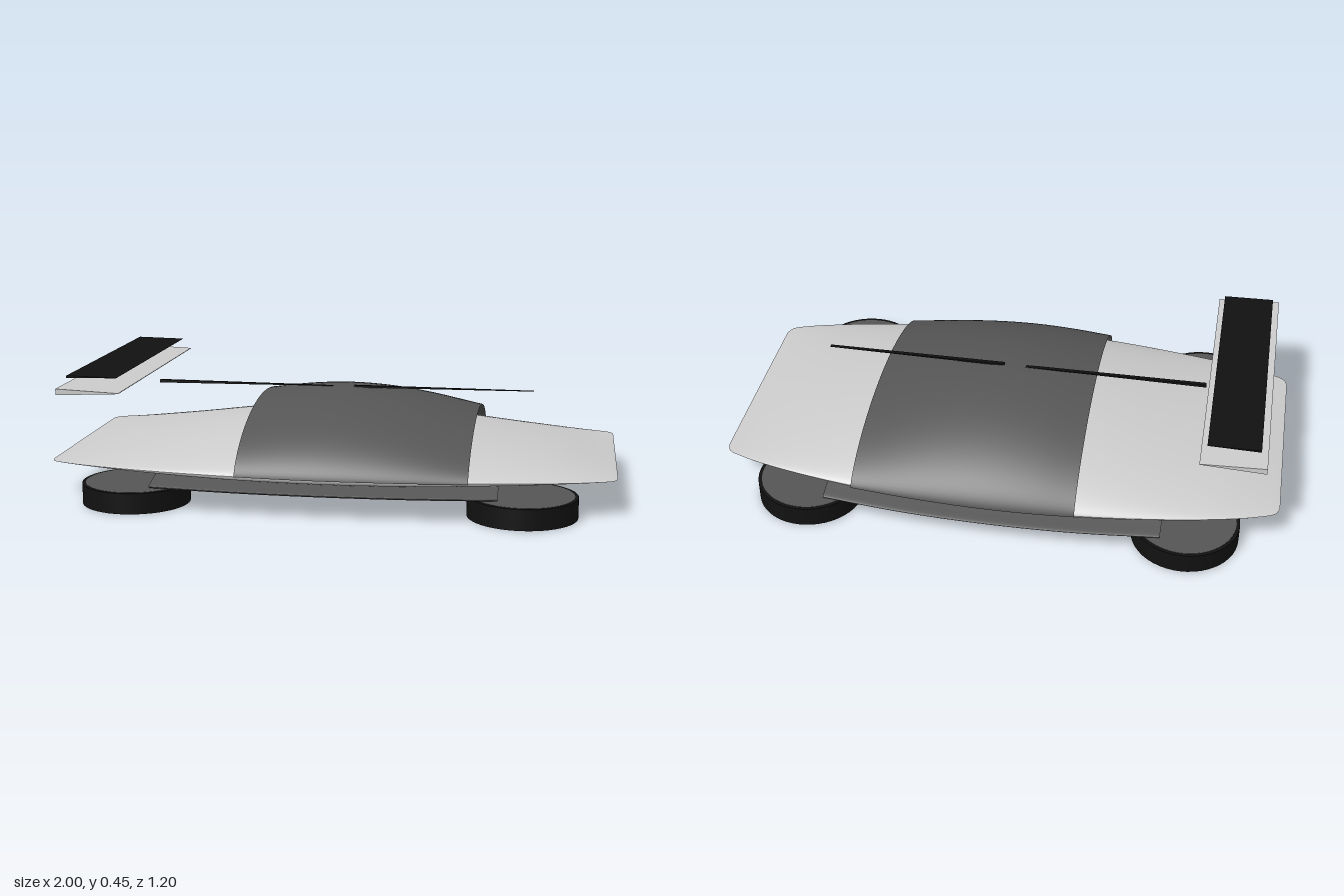
import * as THREE from 'three';

const material = (color) => new THREE.MeshStandardMaterial({ color, side: THREE.DoubleSide });
const SEAM = 0.13; // height of the body's widest line

// Smooth skin through cross-sections along x. Each station is (x, half width, top height).
function loft(stations, section, rows = 48, cols = 48) {
  const curve = new THREE.CatmullRomCurve3(stations.map((s) => new THREE.Vector3(...s)));
  const pos = [], index = [];
  for (let i = 0; i <= rows; i++) {
    const s = curve.getPoint(i / rows);
    for (let j = 0; j <= cols; j++) {
      const [z, y] = section(j / cols, s);
      pos.push(s.x, y, z);
      if (i < rows && j < cols) {
        const a = i * (cols + 1) + j, b = a + cols + 1;
        index.push(a, b, a + 1, b, b + 1, a + 1);
      }
    }
  }
  const g = new THREE.BufferGeometry();
  g.setAttribute('position', new THREE.Float32BufferAttribute(pos, 3));
  g.setIndex(index);
  g.computeVertexNormals();
  return g;
}

// Section rules: domed upper half and shallow lower half
const dome = (t, s) => [
  s.y * Math.cos(Math.PI * t),
  SEAM + (s.z - SEAM) * Math.pow(Math.abs(Math.sin(Math.PI * t)), 1.35),
];
const belly = (t, s) => [
  -s.y * Math.cos(Math.PI * t),
  SEAM - 0.052 * (1 - s.x * s.x) * Math.pow(Math.abs(Math.sin(Math.PI * t)), 0.8),
];

// Thin blade, thick at the -x edge and tapering to a point at +x
function blade(x0, x1, y, thickness, width) {
  const shape = new THREE.Shape();
  shape.moveTo(x0, y - thickness / 2);
  shape.lineTo(x1, y - thickness * 0.05);
  shape.lineTo(x1, y + thickness * 0.05);
  shape.lineTo(x0, y + thickness / 2);
  shape.closePath();
  return new THREE.ExtrudeGeometry(shape, { depth: width, bevelEnabled: false }).translate(0, 0, -width / 2);
}

export function createModel() {
  const group = new THREE.Group();
  const grey = material(0xcccccc), dark = material(0x555555), black = material(0x111111);
  const add = (name, geometry, mat, parent = group) => {
    const m = new THREE.Mesh(geometry, mat);
    m.name = name;
    parent.add(m);
    return m;
  };

  // Body: symmetric end to end, with rounded corners in plan
  const half = [[0.3, 0.527, 0.25], [0.6, 0.492, 0.207], [0.8, 0.455, 0.175],
    [0.93, 0.42, 0.147], [0.985, 0.395, 0.135], [1, 0.365, 0.131]];
  const bodyStations = [
    ...half.map(([x, w, h]) => [-x, w, h]).reverse(),
    [0, 0.538, 0.264],
    ...half,
  ];
  add('upperBody', loft(bodyStations, dome, 72), grey);
  add('lowerBody', loft(bodyStations, belly, 72), grey);

  // Canopy: open-ended dome over the middle
  add('canopy', loft([[-0.3, 0.533, 0.33], [-0.15, 0.543, 0.35], [0, 0.547, 0.358],
    [0.15, 0.544, 0.35], [0.3, 0.536, 0.327], [0.5, 0.518, 0.28]], dome), dark);

  // Floor pan: flat bottom with rounded side sills
  const sill = [[0.44, 0.118], [0.52, 0.1], [0.565, 0.09], [0.57, 0.083], [0.55, 0.076], [0.48, 0.069], [0.25, 0.067]];
  const pan = new THREE.SplineCurve([
    ...sill.map(([z, y]) => new THREE.Vector2(-z, y)),
    ...sill.map(([z, y]) => new THREE.Vector2(z, y)).reverse(),
  ]);
  add('floorPan', loft([[-0.6, 0.534, 0], [-0.3, 0.562, 0], [0, 0.571, 0], [0.3, 0.562, 0], [0.6, 0.534, 0]],
    (t, s) => {
      const p = pan.getPoint(t);
      return [p.x * s.y / 0.57, p.y];
    }, 32, 64), dark);

  // Wheels: flat discs with upright axes
  for (const x of [-0.68, 0.68]) {
    for (const z of [-0.41, 0.41]) {
      const wheel = new THREE.Group();
      wheel.name = 'wheel';
      wheel.position.set(x, 0.0375, z);
      add('tyre', new THREE.CylinderGeometry(0.19, 0.19, 0.073, 48), black, wheel);
      add('hub', new THREE.CylinderGeometry(0.178, 0.178, 0.075, 48), dark, wheel);
      group.add(wheel);
    }
  }

  // Rear wing with a dark panel above it
  add('rearWing', blade(-0.935, -0.71, 0.402, 0.022, 1), grey);
  add('wingPanel', blade(-0.91, -0.73, 0.448, 0.008, 0.908), black);

  // Two slim strips along the roof line
  add('rearRoofStrip', blade(-0.7, -0.04, 0.358, 0.011, 0.014), black);
  add('frontRoofStrip', blade(0.04, 0.7, 0.358, 0.008, 0.014), black);

  return group;
}
